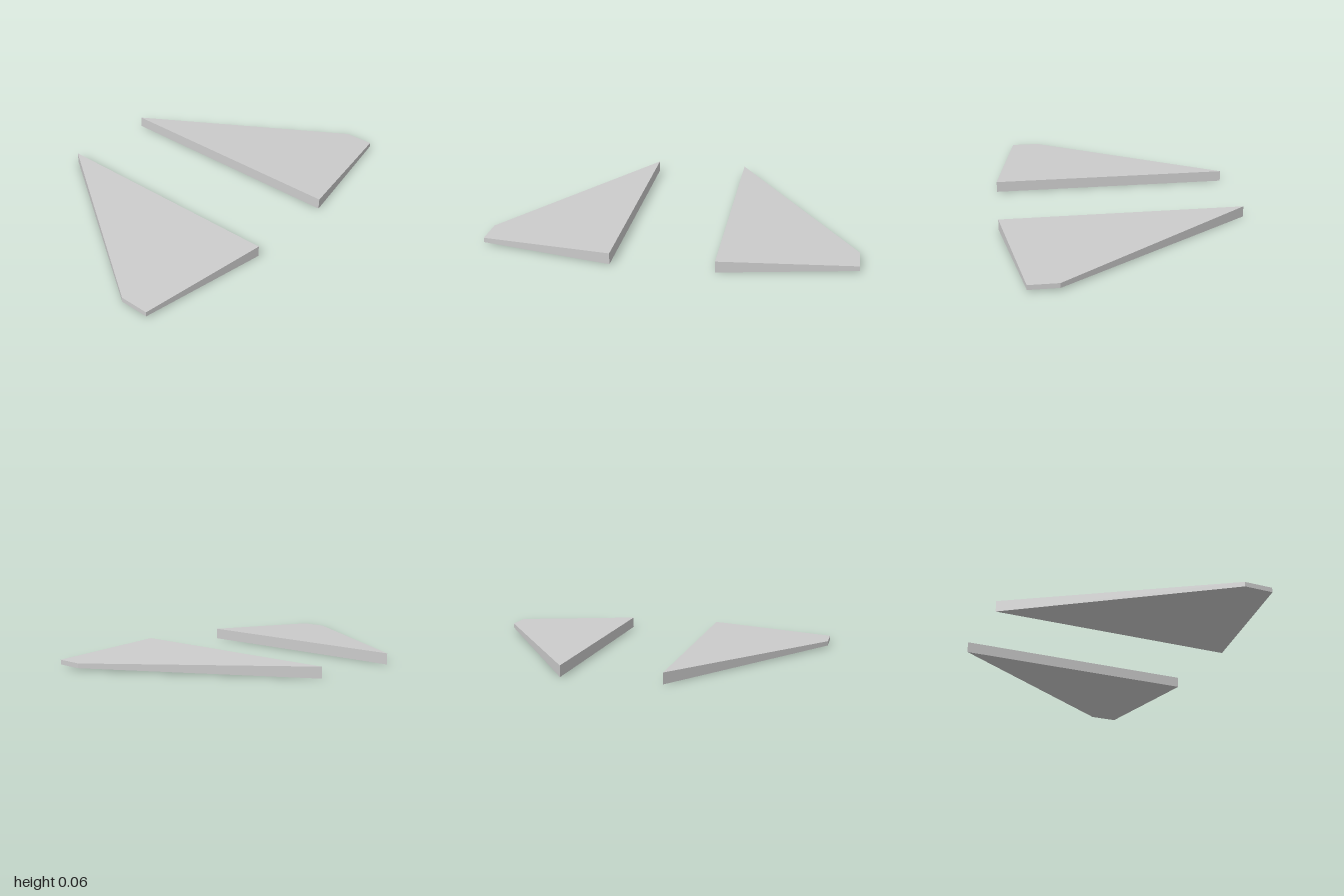
import * as THREE from 'three';

// Cross-sections at the two ends of a wing panel
const root = { x: 0.275, y: [0, 0.062], z: [-0.68, 0.68] };
const tip = { x: 1, y: [0.011, 0.037], z: [0.4, 0.56] };

// Box whose corners are moved onto the root and tip sections; side is +1 or -1
function wingGeometry(side) {
  const geometry = new THREE.BoxGeometry(1, 1, 1);
  const p = geometry.attributes.position;
  for (let i = 0; i < p.count; i++) {
    const section = p.getX(i) * side > 0 ? tip : root;
    p.setXYZ(
      i,
      section.x * side,
      section.y[p.getY(i) > 0 ? 1 : 0],
      section.z[p.getZ(i) > 0 ? 1 : 0]
    );
  }
  geometry.computeVertexNormals();
  return geometry;
}

export function createModel() {
  const model = new THREE.Group();
  model.name = 'wingPair';
  const material = new THREE.MeshStandardMaterial({ color: 0xcccccc, flatShading: true });

  // Mirrored tapered wings
  for (const [name, side] of [['leftWing', 1], ['rightWing', -1]]) {
    const wing = new THREE.Mesh(wingGeometry(side), material);
    wing.name = name;
    model.add(wing);
  }
  return model;
}
